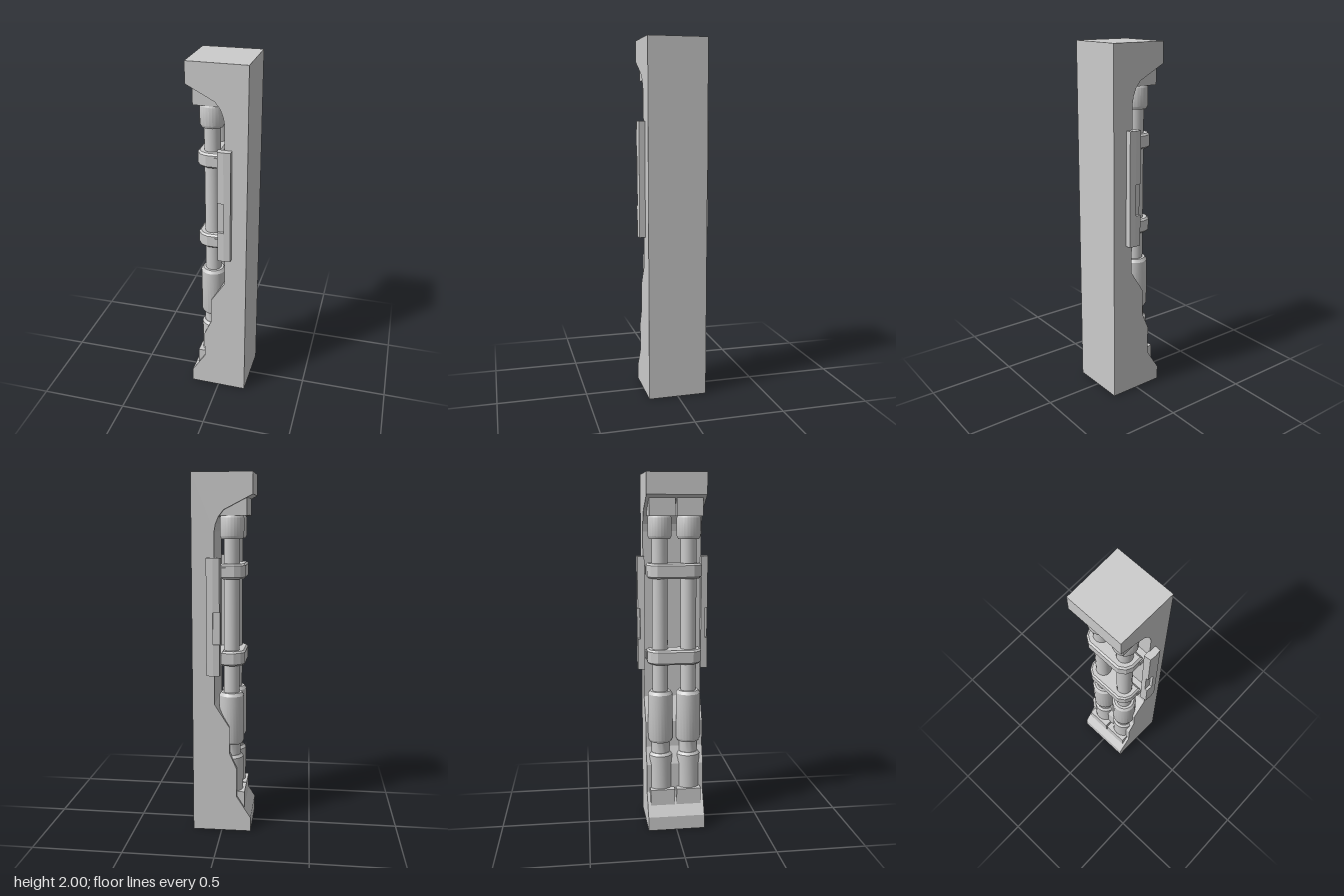
import * as THREE from 'three';
import { toCreasedNormals } from 'three/addons/utils/BufferGeometryUtils.js';

const material = new THREE.MeshStandardMaterial({ color: 0xcccccc });

function add(parent, name, geometry) {
  const mesh = new THREE.Mesh(geometry, material);
  mesh.name = name;
  parent.add(mesh);
  return mesh;
}

// Upright prism from a plan outline of [x, z] points
function prism(plan, y0, y1, bevel = 0) {
  const shape = new THREE.Shape(plan.map(([x, z]) => new THREE.Vector2(x, -z)));
  const geometry = new THREE.ExtrudeGeometry(shape, {
    depth: y1 - y0 - 2 * bevel, bevelEnabled: bevel > 0,
    bevelSize: bevel, bevelThickness: bevel, bevelOffset: -bevel, bevelSegments: 1,
  });
  return geometry.rotateX(-Math.PI / 2).translate(0, y0 + bevel, 0);
}

function box(x0, x1, y0, y1, z0, z1) {
  return new THREE.BoxGeometry(x1 - x0, y1 - y0, z1 - z0)
    .translate((x0 + x1) / 2, (y0 + y1) / 2, (z0 + z1) / 2);
}

export function createModel() {
  const group = new THREE.Group();
  group.name = 'pipeColumn';

  // Column: side profile extruded across, slightly wider toward +x
  const profile = [
    [0.163, 0], [0.163, 2], [-0.165, 2], [-0.165, 1.885], [-0.01, 1.805],
    [0.017, 1.77], [0.033, 1.73], [0.04, 1.69], [0.04, 0.745], [-0.043, 0.615],
    [-0.043, 0.465], [-0.085, 0.37], [-0.085, 0.205], [-0.165, 0.08], [-0.165, 0],
  ].map(([x, y]) => new THREE.Vector2(x, y));
  const column = new THREE.ExtrudeGeometry(new THREE.Shape(profile), { depth: 2, bevelEnabled: false });
  column.translate(0, 0, -1);
  const p = column.attributes.position;
  for (let i = 0; i < p.count; i++) p.setZ(i, p.getZ(i) * (0.164 + 0.015 * p.getX(i)));
  column.computeVertexNormals();
  add(group, 'column', column);

  // Pipe with collars: [radius, height]
  const pipeProfile = [
    [0, 0.1], [0.068, 0.1], [0.068, 0.425], [0.055, 0.44], [0.052, 0.44], [0.052, 0.505],
    [0.062, 0.505], [0.07, 0.52], [0.07, 0.785], [0.058, 0.803], [0.044, 0.803], [0.044, 1.652],
    [0.058, 1.652], [0.066, 1.668], [0.066, 1.765], [0.058, 1.78], [0, 1.78],
  ].map(([r, y]) => new THREE.Vector2(r, y));

  for (const [side, s] of [['left', 1], ['right', -1]]) {
    const pipe = toCreasedNormals(new THREE.LatheGeometry(pipeProfile, 24), 0.5);
    add(group, side + 'Pipe', pipe).position.set(-0.047, 0, s * 0.08);

    // Sockets holding the pipe ends
    const z0 = Math.min(s * 0.005, s * 0.145), z1 = Math.max(s * 0.005, s * 0.145);
    add(group, side + 'TopSocket', box(-0.133, 0.03, 1.775, 1.9, z0, z1));
    add(group, side + 'BottomSocket', box(-0.128, 0, 0.1, 0.23, z0, z1));

    // Side panel with a shallow notch on its inner edge
    const panel = new THREE.Group();
    panel.name = side + 'SidePanel';
    const full = [[0.003, 0.16], [0.008, 0.198], [0.043, 0.202], [0.08, 0.198], [0.08, 0.16]];
    const notched = [[0.003, 0.16], [0.006, 0.185], [0.043, 0.185], [0.043, 0.202], [0.08, 0.198], [0.08, 0.16]];
    const bands = [['lowerPanel', full, 0.915, 1.09], ['notchedPanel', notched, 1.09, 1.265], ['upperPanel', full, 1.265, 1.555]];
    for (const [name, plan, y0, y1] of bands) {
      add(panel, name, prism(plan.map(([x, z]) => [x, s * z]), y0, y1));
    }
    group.add(panel);
  }

  // Clamps around both pipes, with small end tabs
  const clampPlan = [
    [0.005, 0.152], [-0.065, 0.152], [-0.1, 0.135], [-0.123, 0.1],
    [-0.123, -0.1], [-0.1, -0.135], [-0.065, -0.152], [0.005, -0.152],
  ];
  for (const [name, y] of [['lowerClamp', 1.002], ['upperClamp', 1.48]]) {
    add(group, name, prism(clampPlan, y - 0.041, y + 0.041, 0.01));
    add(group, name + 'Mount', box(-0.02, 0.05, y - 0.022, y + 0.022, -0.158, 0.158));
  }

  return group;
}
